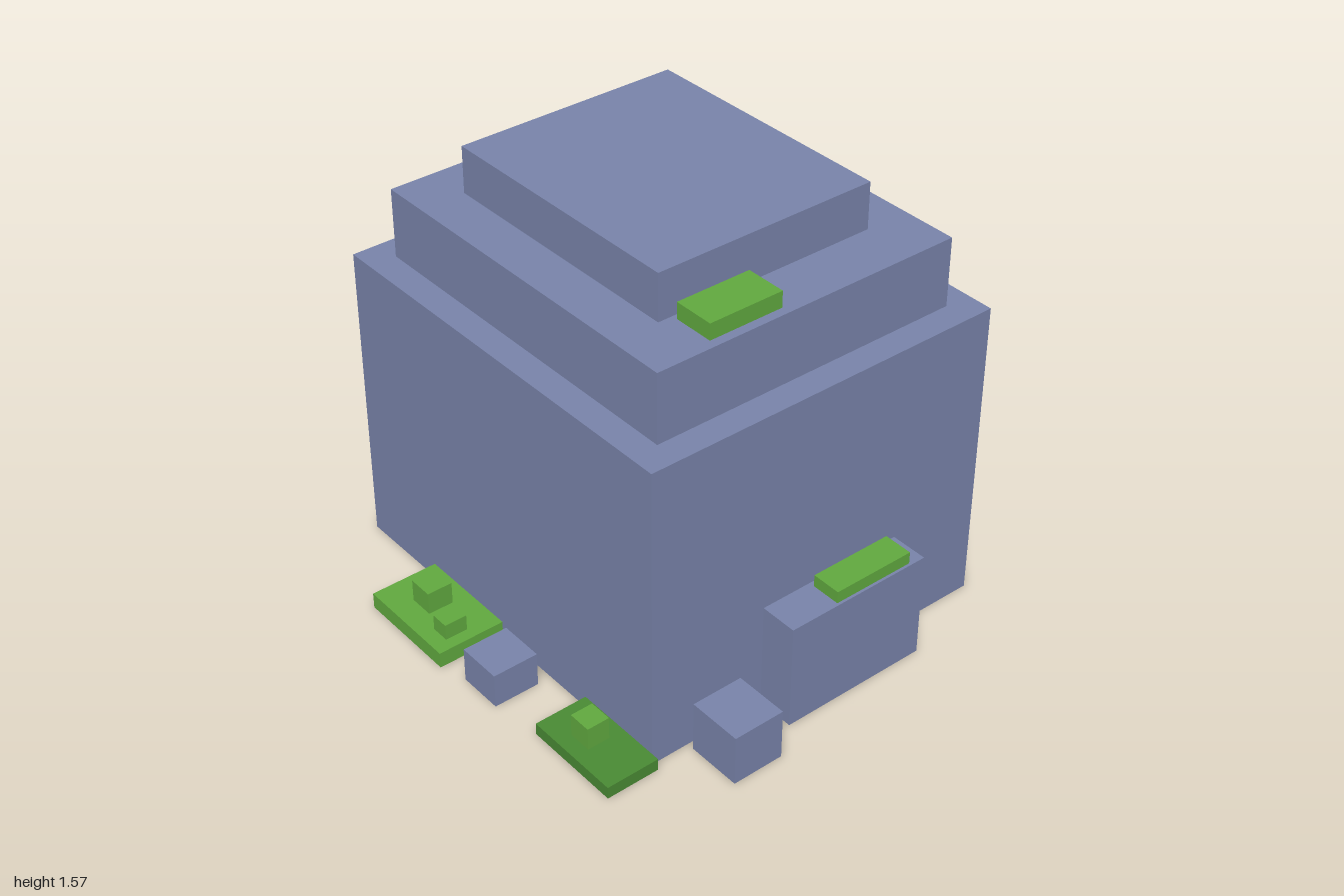
import * as THREE from 'three';

export function createModel() {
  const model = new THREE.Group();
  const material = (name, color) => {
    const m = new THREE.MeshStandardMaterial({ color });
    m.name = name;
    return m;
  };
  const stone = material('slate stone', 0x7a85ac);
  const moss = material('light moss', 0x62ab40);
  const darkMoss = material('dark moss', 0x4b8c35);

  // Box given by its extents along each axis
  function block(name, mat, [x0, x1], [y0, y1], [z0, z1], parent = model) {
    const mesh = new THREE.Mesh(new THREE.BoxGeometry(x1 - x0, y1 - y0, z1 - z0), mat);
    mesh.position.set((x0 + x1) / 2, (y0 + y1) / 2, (z0 + z1) / 2);
    mesh.name = name;
    parent.add(mesh);
  }

  // Ground moss: a flat slab with little tufts of [x, top, z]
  function mossPatch(name, mat, x, height, z, tufts) {
    const patch = new THREE.Group();
    patch.name = name;
    block('mossSlab', mat, x, [0, height], z, patch);
    for (const [tx, top, tz] of tufts) block('mossTuft', moss, tx, [height, top], tz, patch);
    model.add(patch);
  }

  // Stepped boulder
  block('boulderBase', stone, [-0.80, 0.77], [0, 1.145], [-0.742, 0.656]);
  block('boulderMiddle', stone, [-0.70, 0.67], [1.145, 1.40], [-0.642, 0.553]);
  block('boulderTop', stone, [-0.53, 0.465], [1.40, 1.572], [-0.472, 0.382]);

  // Slabs leaning against the sides
  block('leftSlab', stone, [-0.945, -0.80], [0, 0.43], [-0.03, 0.455]);
  block('rightSlab', stone, [0.77, 0.91], [0, 0.40], [-0.373, 0.20]);

  // Loose stones
  block('frontStone', stone, [0.07, 0.24], [0, 0.13], [0.71, 0.882]);
  block('rightStone', stone, [0.797, 1.0], [0, 0.19], [0.315, 0.51]);
  block('leftStone', stone, [-1.0, -0.86], [0, 0.145], [-0.46, -0.32]);

  // Moss resting on the ledges
  block('ledgeMoss', moss, [0.485, 0.637], [1.40, 1.46], [0.043, 0.327]);
  block('slabMoss', moss, [0.79, 0.90], [0.40, 0.445], [-0.315, 0.003]);

  // Moss around the foot
  mossPatch('frontMoss', moss, [-0.43, -0.03], 0.06, [0.656, 0.912], [
    [[-0.315, -0.22], 0.145, [0.727, 0.823]],
    [[-0.145, -0.075], 0.12, [0.77, 0.855]],
  ]);
  mossPatch('frontCornerMoss', darkMoss, [0.427, 0.80], 0.045, [0.656, 0.857], [
    [[0.54, 0.627], 0.13, [0.715, 0.80]],
  ]);
  mossPatch('backMoss', darkMoss, [0.14, 0.57], 0.06, [-0.913, -0.742], [
    [[0.28, 0.37], 0.13, [-0.86, -0.79]],
  ]);
  mossPatch('leftMoss', moss, [-0.987, -0.80], 0.06, [-0.29, -0.033], [
    [[-0.945, -0.875], 0.12, [-0.215, -0.135]],
  ]);

  return model;
}
